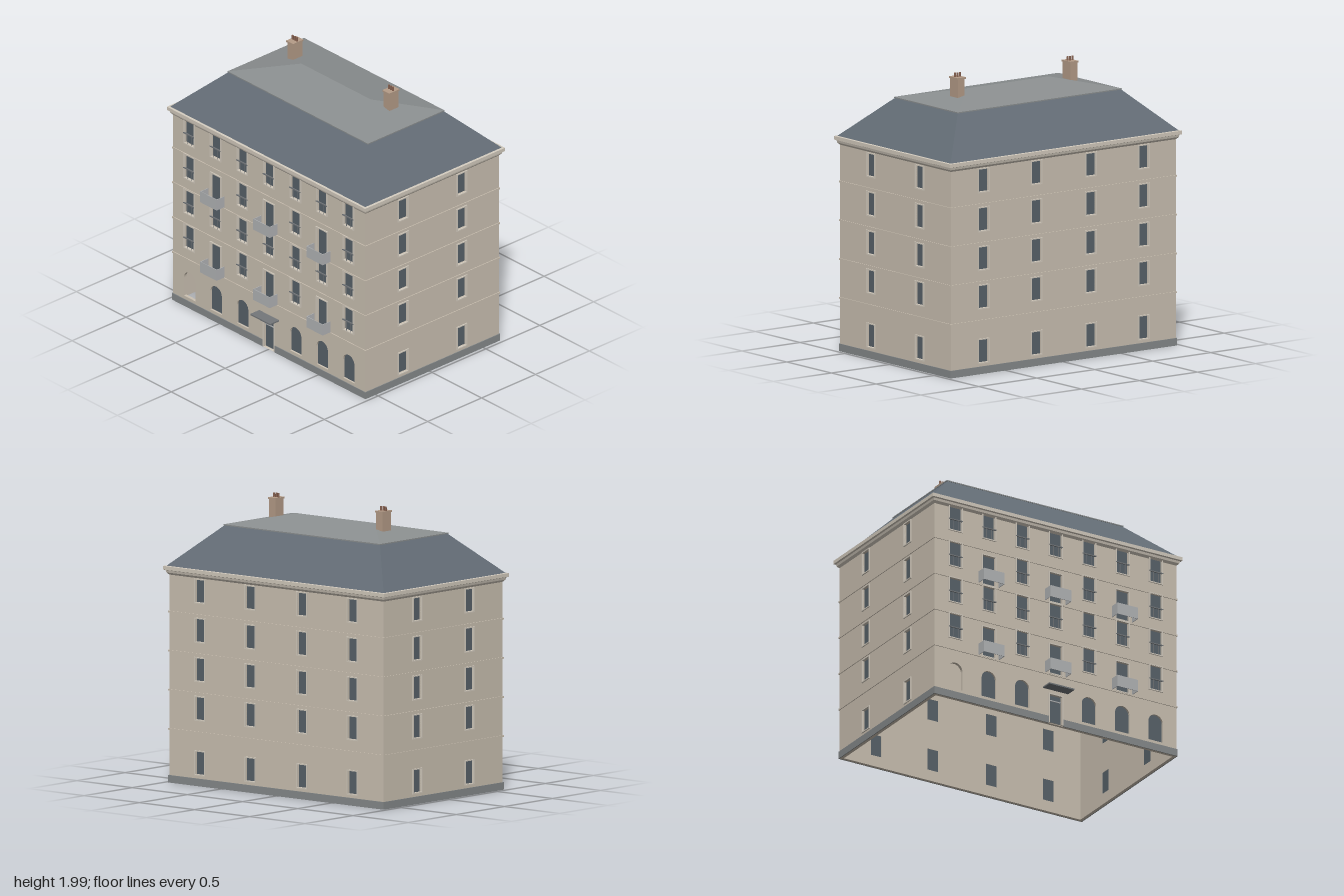
import * as THREE from 'three';

const mat = (name, color, extra = {}) => new THREE.MeshStandardMaterial({ name, color, ...extra });
const HW = 0.97, HD = 0.62, CZ = -0.029, T = 0.022; // half width, half depth, centre z, wall thickness

export function createModel() {
  const M = {
    wall: mat('stone', 0xcbc1b2),
    trim: mat('pale trim', 0xd3cbbe),
    plinth: mat('plinth grey', 0x868a8b),
    glass: mat('window glass', 0x58626a),
    slate: mat('slate', 0x626b74, { side: THREE.DoubleSide }),
    lead: mat('roof lead', 0x8b8f90, { side: THREE.DoubleSide }),
    panel: mat('balcony panel', 0xb2b4b6),
    metal: mat('rail metal', 0x73777a),
    brick: mat('chimney brick', 0xb59c88),
    pot: mat('chimney pot', 0x85604f),
  };
  const model = new THREE.Group();
  model.name = 'apartmentBuilding';

  const add = (parent, name, geo, material, x = 0, y = 0, z = 0) => {
    const mesh = new THREE.Mesh(geo, material);
    mesh.name = name;
    mesh.position.set(x, y, z);
    parent.add(mesh);
    return mesh;
  };
  const box = (parent, name, m, w, h, d, x, y, z) =>
    add(parent, name, new THREE.BoxGeometry(w, h, d), m, x, y, z);
  const extrude = (shape, depth) =>
    new THREE.ExtrudeGeometry(shape, { depth, bevelEnabled: false, curveSegments: 12 });

  // Opening outline, grown by g; round-headed when o.arch is set
  const outline = (o, g = 0, Type = THREE.Shape) => {
    const p = new Type(), r = o.w / 2 + g, b = o.y0 - (o.door ? 0 : g), t = o.y1 + g;
    p.moveTo(o.x - r, b);
    p.lineTo(o.x + r, b);
    if (o.arch) {
      p.lineTo(o.x + r, t - r);
      p.absarc(o.x, t - r, r, 0, Math.PI, false);
    } else {
      p.lineTo(o.x + r, t);
      p.lineTo(o.x - r, t);
    }
    p.closePath();
    return p;
  };

  // Wall with real openings, recessed glass and raised surrounds; local +z is outward
  const wall = (name, half, openings, x, z, turn) => {
    const g = new THREE.Group();
    g.name = name;
    g.position.set(x, 0, z);
    g.rotation.y = turn;
    model.add(g);
    const s = new THREE.Shape();
    s.moveTo(-half, 0);
    s.lineTo(half, 0);
    s.lineTo(half, 1.47);
    s.lineTo(-half, 1.47);
    s.closePath();
    openings.forEach((o) => s.holes.push(outline(o, 0, THREE.Path)));
    add(g, name + 'Masonry', extrude(s, T), M.wall, 0, 0, -T);
    for (const o of openings) {
      if (!o.open) add(g, 'pane', extrude(outline(o), 0.006), M.glass, 0, 0, -0.02);
      if (!o.arch) {
        const f = outline(o, 0.008);
        f.holes.push(outline(o, 0, THREE.Path));
        add(g, 'windowSurround', extrude(f, 0.018), M.trim, 0, 0, -0.01);
      }
      if (o.rail) {
        const mid = (o.y0 + o.y1) / 2 - 0.014;
        box(g, 'windowRail', M.metal, o.w + 0.014, 0.008, 0.008, o.x, mid, 0.006);
        for (const dx of [-0.02, 0.02])
          box(g, 'windowBaluster', M.metal, 0.004, mid - o.y0, 0.004, o.x + dx, (mid + o.y0) / 2, 0.004);
      }
    }
    return g;
  };

  // Front: seven bays
  const front = [];
  const upper = [[0.458, 0.637], [0.728, 0.904], [0.998, 1.177], [1.268, 1.449]];
  for (let i = -3; i <= 3; i++) {
    const x = i * 0.2675;
    upper.forEach(([y0, y1], row) => {
      if (row % 2 === 0 && i % 2 === 0 && Math.abs(i) <= 2)
        front.push({ x, w: 0.1, y0: y0 - 0.078, y1: y1 - 0.04 });
      else front.push({ x, w: 0.096, y0, y1, rail: true });
    });
    if (i) front.push({ x, w: 0.114, y0: 0.075, y1: 0.272, arch: true, open: i === -3 });
  }
  front.push({ x: 0, w: 0.1, y0: 0.004, y1: 0.218, door: true });
  const f = wall('frontWall', HW, front, 0, CZ + HD, 0);

  // Entrance and canopy
  box(f, 'doorTransom', M.panel, 0.1, 0.008, 0.008, 0, 0.178, -0.012);
  box(f, 'canopy', M.metal, 0.2, 0.01, 0.084, 0, 0.259, 0.041);

  // Balconies: open-topped, three thin panels
  for (const x of [-0.535, 0, 0.535])
    for (const y of [0.418, 0.963]) {
      box(f, 'balconyFront', M.panel, 0.166, 0.084, 0.004, x, y, 0.07);
      for (const s of [-1, 1]) box(f, 'balconySide', M.panel, 0.004, 0.084, 0.07, x + s * 0.081, y, 0.035);
    }

  // Back and sides share the same window rows
  const rows = [[0.08, 0.238], [0.458, 0.614], [0.726, 0.882], [0.996, 1.154], [1.268, 1.424]];
  const plain = (columns) => columns.flatMap((x) => rows.map(([y0, y1]) => ({ x, w: 0.084, y0, y1 })));
  wall('backWall', HW, plain([-0.69, -0.235, 0.235, 0.69]), 0, CZ - HD, Math.PI);
  wall('leftWall', HD, plain([-0.272, 0.272]), HW, CZ, Math.PI / 2);
  wall('rightWall', HD, plain([-0.272, 0.272]), -HW, CZ, -Math.PI / 2);

  // Plinth, broken at the door
  const P = 0.006;
  for (const s of [-1, 1]) {
    box(model, 'plinthFront', M.plinth, HW + P - 0.058, 0.052, P, s * (HW + P + 0.058) / 2, 0.026, CZ + HD + P / 2);
    box(model, 'plinthSide', M.plinth, P, 0.052, 2 * HD, s * (HW + P / 2), 0.026, CZ);
  }
  box(model, 'plinthBack', M.plinth, 2 * (HW + P), 0.052, P, 0, 0.026, CZ - HD - P / 2);

  // Four-sided loft through rings [half width, half depth, y]
  const loft = (name, rings, material) => {
    const pos = [], signs = [[1, 1], [1, -1], [-1, -1], [-1, 1]];
    const at = ([w, d, y], i) => [signs[i % 4][0] * w, y, CZ + signs[i % 4][1] * d];
    for (let k = 0; k + 1 < rings.length; k++)
      for (let i = 0; i < 4; i++) {
        const a = at(rings[k], i), b = at(rings[k], i + 1), c = at(rings[k + 1], i + 1), d = at(rings[k + 1], i);
        pos.push(...a, ...b, ...c, ...a, ...c, ...d);
      }
    const g = new THREE.BufferGeometry();
    g.setAttribute('position', new THREE.Float32BufferAttribute(pos, 3));
    g.computeVertexNormals();
    add(model, name, g, material);
  };
  const around = (o, y) => [HW + o, HD + o, y];

  // String courses and cornice
  for (const y of [0.37, 0.64, 0.91, 1.18])
    loft('stringCourse', [around(0, y - 0.006), around(0.006, y - 0.006), around(0.006, y + 0.006), around(0, y + 0.006)], M.wall);
  loft('cornice', [around(0, 1.435), around(0.014, 1.45), around(0.018, 1.466), around(0.03, 1.47),
    around(0.03, 1.495), around(0.01, 1.497)], M.trim);

  // Mansard and shallow hipped top
  loft('mansardRoof', [around(0.015, 1.495), [0.703, 0.35, 1.772]], M.slate);
  loft('upperRoof', [[0.703, 0.35, 1.77], [0.708, 0.355, 1.77], [0.708, 0.355, 1.778], [0.35, 0, 1.85]], M.lead);

  // Chimneys with three pots each
  for (const s of [-1, 1]) {
    const c = new THREE.Group();
    c.name = 'chimney';
    c.position.set(s * 0.485, 0, -0.093);
    model.add(c);
    box(c, 'chimneyStack', M.brick, 0.06, 0.14, 0.085, 0, 1.877, 0);
    box(c, 'chimneyCap', M.brick, 0.07, 0.012, 0.095, 0, 1.95, 0);
    for (const x of [-0.021, 0, 0.021])
      add(c, 'chimneyPot', new THREE.CylinderGeometry(0.007, 0.008, 0.03, 10), M.pot, x, 1.97, 0);
  }
  return model;
}
